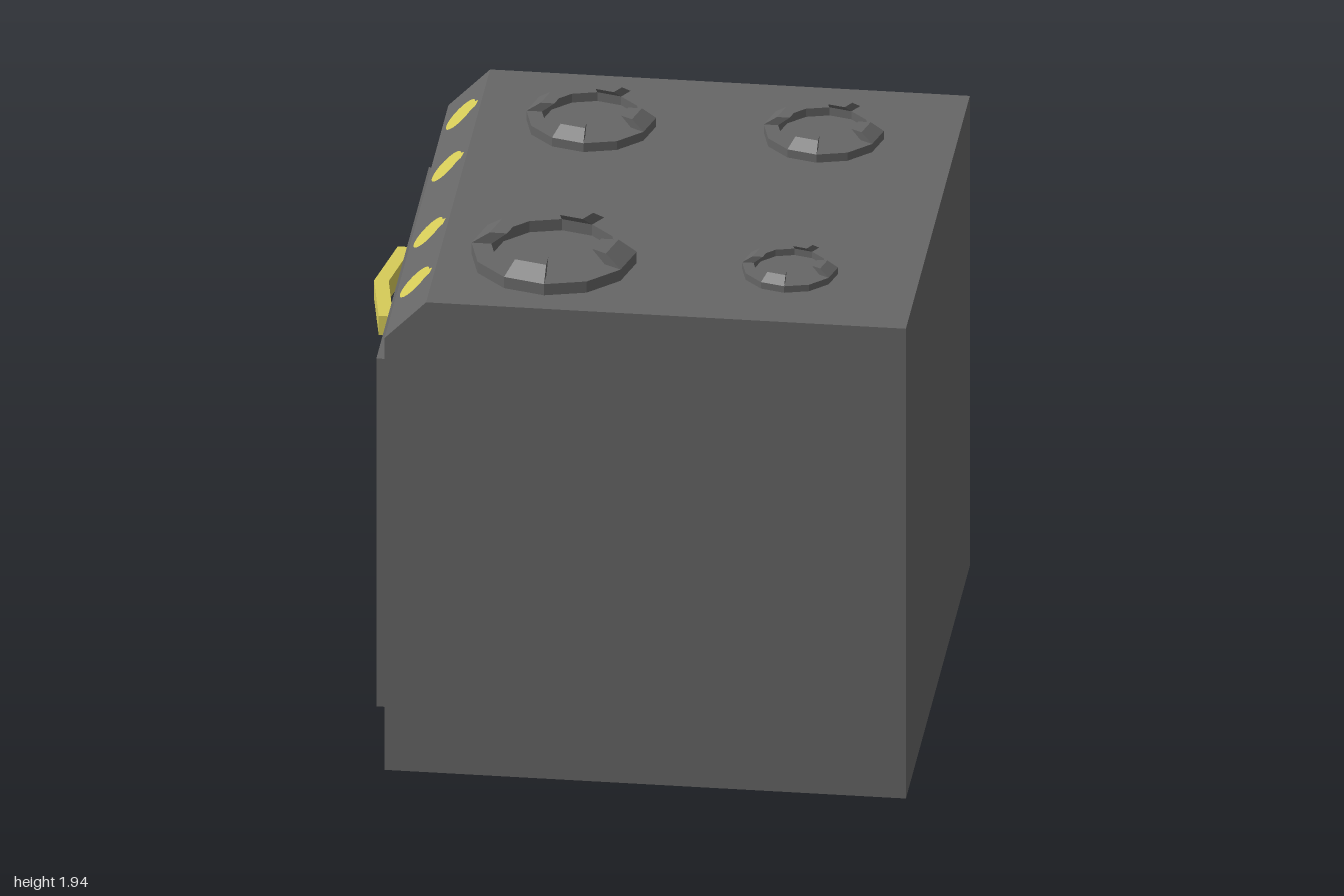
import * as THREE from 'three';

const grey = new THREE.MeshStandardMaterial({ color: 0x666666, flatShading: true });
const yellow = new THREE.MeshStandardMaterial({ color: 0xd6cb58, flatShading: true, side: THREE.DoubleSide });

const shapeOf = (pts) => new THREE.Shape(pts.map(([x, y]) => new THREE.Vector2(x, y)));

function extrude(pts, depth) {
  return new THREE.ExtrudeGeometry(shapeOf(pts), { depth, bevelEnabled: false });
}

function addMesh(parent, name, geometry, material) {
  const mesh = new THREE.Mesh(geometry, material);
  mesh.name = name;
  parent.add(mesh);
  return mesh;
}

// Burner at unit radius: 12-sided ring plus four raised prongs leaning inward
const RING_IN = 0.76, RING_TOP = 0.15, PRONG_TOP = 0.3;

function ringGeometry() {
  const profile = [[RING_IN, 0], [1, 0], [1, RING_TOP], [RING_IN, RING_TOP], [RING_IN, 0]];
  return new THREE.LatheGeometry(profile.map(([r, y]) => new THREE.Vector2(r, y)), 12);
}

function prongGeometry() {
  // Box whose corners are moved to a 30 degree ring segment, pushed inward at the top
  const geometry = new THREE.BoxGeometry(1, 1, 1);
  const p = geometry.attributes.position;
  for (let i = 0; i < p.count; i++) {
    const top = p.getY(i) > 0;
    const outer = p.getX(i) > 0;
    const angle = p.getZ(i) > 0 ? Math.PI / 6 : 0;
    const r = top ? (outer ? 0.78 : 0.57) : (outer ? 1 : RING_IN);
    p.setXYZ(i, r * Math.cos(angle), top ? PRONG_TOP : RING_TOP, r * Math.sin(angle));
  }
  geometry.computeVertexNormals();
  return geometry;
}

function createBurner(x, z, radius) {
  const burner = new THREE.Group();
  burner.name = 'burner';
  addMesh(burner, 'burnerRing', ringGeometry(), grey);
  const prong = prongGeometry();
  for (let i = 0; i < 4; i++) {
    addMesh(burner, 'burnerProng', prong, grey).rotation.y = -i * Math.PI / 2;
  }
  burner.position.set(x, 1.85, z);
  burner.scale.setScalar(radius);
  return burner;
}

// Flat round knob with a small pointer near its upper edge
function knobGeometry() {
  const pts = [];
  const r = 0.073, n = 32;
  const pointer = Math.PI / 2 - 0.28;
  for (let i = 0; i < n; i++) {
    const a = pointer + (i / n) * Math.PI * 2;
    const rr = i === 0 || i === 1 || i === n - 1 ? 0.091 : r;
    pts.push([rr * Math.cos(a), rr * Math.sin(a)]);
  }
  return new THREE.ShapeGeometry(shapeOf(pts)).translate(0, 0, 0.006);
}

export function createModel() {
  const model = new THREE.Group();
  model.name = 'stove';

  // Body: side profile with a sloped control edge, swept along z
  const body = extrude([[-0.85, 0], [1, 0], [1, 1.85], [-0.702, 1.85], [-0.85, 1.7]], 1.845);
  body.translate(0, 0, -0.9225);
  addMesh(model, 'body', body, grey);

  // Oven door
  const door = new THREE.BoxGeometry(0.05, 1.37, 1.515);
  door.translate(-0.874, 0.85, 0);
  addMesh(model, 'ovenDoor', door, grey);

  // Bent door handle
  const handle = extrude([
    [-0.899, -0.275], [-0.948, 0], [-0.899, 0.275], [-0.95, 0.275], [-1, 0], [-0.95, -0.275],
  ], 0.075);
  handle.rotateX(-Math.PI / 2);
  handle.translate(0, 1.385, 0);
  addMesh(model, 'doorHandle', handle, yellow);

  // Knobs lying on the sloped edge
  const up = new THREE.Vector3(0.148, 0.15, 0).normalize();
  const along = new THREE.Vector3(0, 0, 1);
  const out = new THREE.Vector3().crossVectors(along, up);
  const tilt = new THREE.Matrix4().makeBasis(along, up, out);
  const knob = knobGeometry();
  for (const z of [-0.697, -0.287, 0.237, 0.63]) {
    const mesh = addMesh(model, 'knob', knob, yellow);
    mesh.quaternion.setFromRotationMatrix(tilt);
    mesh.position.set(-0.775, 1.776, z);
  }

  // Four burners of different sizes
  for (const [x, z, r] of [
    [-0.297, -0.548, 0.23], [0.528, -0.548, 0.213], [-0.297, 0.524, 0.293], [0.54, 0.524, 0.17],
  ]) model.add(createBurner(x, z, r));

  return model;
}
